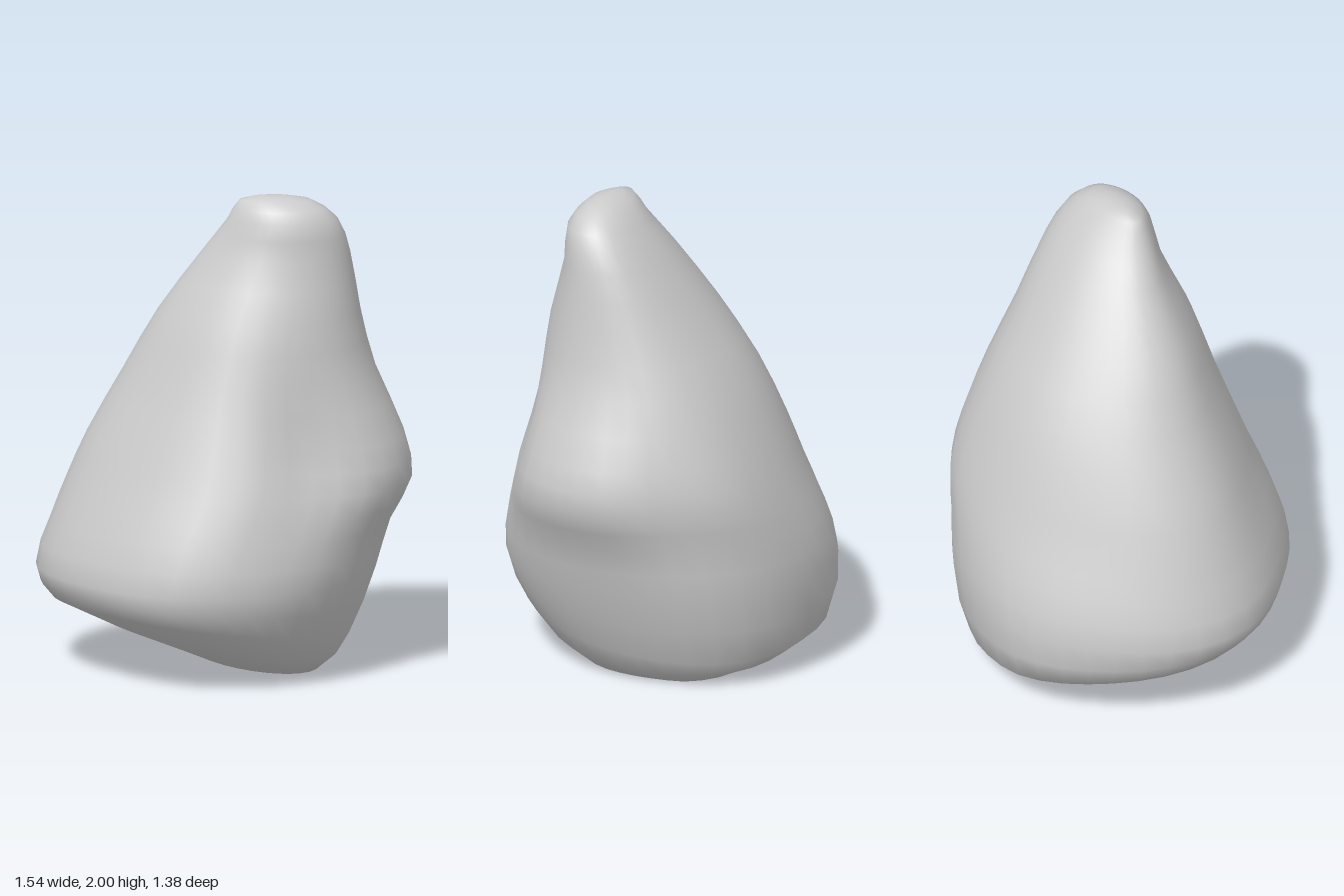
import * as THREE from 'three';
import { mergeVertices } from 'three/addons/utils/BufferGeometryUtils.js';

const COLS = 36;   // points around each ring
const STEPS = 2;   // rows between neighbouring rings

// How far a rounded quarter swells (+) or flattens (-) between the axes
function quarterSwell(cos, sin) {
  if (sin > 0) return cos > 0 ? 0 : -0.07;
  return cos > 0 ? 0.06 : -0.05;
}

// Smooth hollow around one direction (radians from +x towards +z) and height
function hollow(angle, y, centreAngle, centreY, depth) {
  const turn = Math.abs(angle - centreAngle);
  const away = Math.min(turn, Math.PI * 2 - turn);
  return depth * Math.exp(-((away / 0.32) ** 2) - ((y - centreY) / 0.28) ** 2);
}

// Cross-section between the given limits, tilted along x and z
function ring(y, xMin, xMax, zMin, zMax, slopeX = 0, slopeZ = 0) {
  const cx = (xMin + xMax) / 2, cz = (zMin + zMax) / 2;
  return Array.from({ length: COLS }, (_, i) => {
    const a = (i / COLS) * Math.PI * 2;
    const cos = Math.cos(a), sin = Math.sin(a);
    const scale = 1 + quarterSwell(cos, sin) * Math.sin(2 * a) ** 2
      - hollow(a, y, 1.08, 0.95, 0.13)    // valley down the front
      - hollow(a, y, 5.65, 0.85, 0.09);   // dip behind the side bulge
    const dx = ((xMax - xMin) / 2) * cos * scale;
    const dz = ((zMax - zMin) / 2) * sin * scale;
    return new THREE.Vector3(cx + dx, y + slopeX * dx + slopeZ * dz, cz + dz);
  });
}

// Skin through the rings, from the bottom to the top
function skin(rings) {
  const rows = (rings.length - 1) * STEPS;
  const positions = [], index = [];
  const columns = rings[0].map((_, j) => new THREE.CatmullRomCurve3(rings.map((r) => r[j])));
  for (let i = 0; i <= rows; i++) {
    for (const column of columns) {
      const p = column.getPoint(i / rows);
      positions.push(p.x, THREE.MathUtils.clamp(p.y, 0, 2), p.z);
    }
  }
  for (let i = 0; i < rows; i++) {
    for (let j = 0; j < COLS; j++) {
      const a = i * COLS + j, b = i * COLS + ((j + 1) % COLS);
      if (i < rows - 1) index.push(a, a + COLS, b + COLS);
      if (i > 0) index.push(a, b + COLS, b);
    }
  }
  const geometry = new THREE.BufferGeometry();
  geometry.setAttribute('position', new THREE.Float32BufferAttribute(positions, 3));
  geometry.setIndex(index);
  const merged = mergeVertices(geometry, 1e-4);
  merged.computeVertexNormals();
  return merged;
}

export function createModel() {
  const rings = [
    // underside, rising to the front and the right
    ring(0, 0.16, 0.16, 0, 0),
    ring(0.06, -0.26, 0.40, -0.48, 0.34, -0.2),
    ring(0.21, -0.70, 0.51, -0.65, 0.63, -0.12, 0.1),
    // wide lower body
    ring(0.42, -0.77, 0.62, -0.69, 0.69),
    ring(0.62, -0.71, 0.68, -0.66, 0.66),
    // bulge on the left side
    ring(0.80, -0.64, 0.77, -0.61, 0.61),
    ring(0.98, -0.56, 0.74, -0.55, 0.55),
    // taper to the leaning peak
    ring(1.25, -0.41, 0.62, -0.44, 0.46),
    ring(1.50, -0.27, 0.56, -0.29, 0.39),
    ring(1.75, -0.09, 0.52, -0.13, 0.30),
    ring(1.90, 0.02, 0.47, -0.02, 0.28),
    ring(1.98, 0.07, 0.36, 0.06, 0.22),
    ring(2, 0.20, 0.20, 0.14, 0.14),
  ];
  const rock = new THREE.Mesh(skin(rings), new THREE.MeshStandardMaterial({ color: 0xcccccc }));
  rock.name = 'rock';
  const model = new THREE.Group();
  model.name = 'boulder';
  model.add(rock);
  return model;
}
